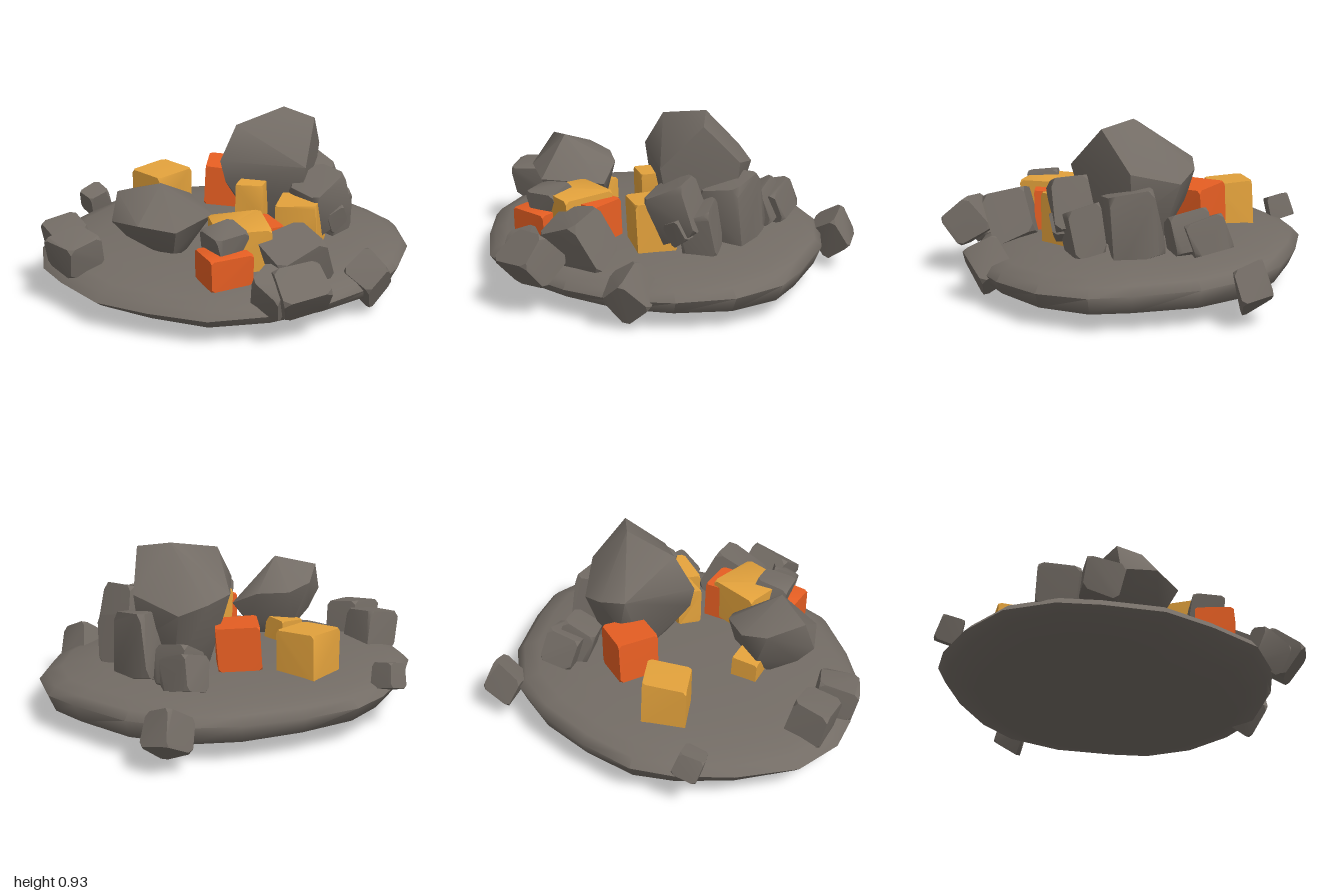
import * as THREE from 'three';
import { toCreasedNormals } from 'three/addons/utils/BufferGeometryUtils.js';
import { ConvexGeometry } from 'three/addons/geometries/ConvexGeometry.js';

const stone = new THREE.MeshStandardMaterial({ name: 'stone grey', color: 0x736c65 });
const amber = new THREE.MeshStandardMaterial({ name: 'amber', color: 0xe3a23c });
const orange = new THREE.MeshStandardMaterial({ name: 'ember orange', color: 0xe85f23 });

const V = (p) => new THREE.Vector3(...p);

function seeded(seed) {
  let s = seed * 7919 + 17;
  return () => (s = (s * 16807) % 2147483647) / 2147483647;
}

function mesh(name, geometry, material, crease) {
  const m = new THREE.Mesh(toCreasedNormals(geometry, crease), material);
  m.name = name;
  return m;
}

// Turned, cut-cornered block stretched to fill the box [x0, x1, y0, y1, z0, z1]
function block([x0, x1, y0, y1, z0, z1], turn, jitter, bevel, seed) {
  const rand = seeded(seed);
  for (let i = 0; i < 5; i++) rand();
  const euler = new THREE.Euler(...turn);
  const points = [];
  for (const x of [-1, 1]) for (const y of [-1, 1]) for (const z of [-1, 1]) {
    const c = [x, y, z].map((k) => k * (1 - jitter * rand()));
    for (let axis = 0; axis < 3; axis++) {
      const p = c.slice();
      p[axis] *= 1 - bevel;
      points.push(V(p).applyEuler(euler));
    }
  }
  const box = new THREE.Box3().setFromPoints(points);
  const size = box.getSize(new THREE.Vector3());
  const lo = V([x0, y0, z0]), span = V([x1 - x0, y1 - y0, z1 - z0]);
  points.forEach((p) => p.sub(box.min).divide(size).multiply(span).add(lo));
  return new ConvexGeometry(points);
}

// Domed stone slab: one outline swept through rings from top centre to bottom centre
function slabGeometry() {
  const outline = [
    [-0.32, -0.92], [-0.02, -0.94], [0.3, -0.91], [0.55, -0.82], [0.78, -0.6],
    [0.93, -0.3], [1, -0.1], [0.96, 0.17], [0.8, 0.42], [0.6, 0.6], [0.3, 0.72],
    [0, 0.77], [-0.32, 0.74], [-0.58, 0.57], [-0.8, 0.38], [-0.93, 0.1],
    [-0.99, -0.1], [-0.95, -0.37], [-0.75, -0.63], [-0.52, -0.82],
  ];
  const top = [[0, 0.29], [0.4, 0.285], [0.7, 0.266], [0.88, 0.238], [0.96, 0.213], [1, 0.172]];
  const under = [[0.96, 0.115], [0.8, 0.075], [0.6, 0.058], [0.4, 0.05], [0.2, 0.048], [0, 0.046]];
  const rings = [...top, ...under];
  const n = outline.length, position = [], index = [];
  rings.forEach(([s, y], r) => {
    for (const [ox, oz] of outline) {
      const x = ox * s, z = oz * s;
      // The top leans to the front, the underside sags towards one low point
      const shift = r < top.length
        ? 0.012 * x - 0.03 * z
        : -0.018 * x - 0.057 * Math.exp(-((x + 0.18) ** 2 + (z - 0.36) ** 2) / 0.12);
      position.push(x, y + shift, z);
    }
  });
  for (let r = 0; r < rings.length - 1; r++) {
    for (let i = 0; i < n; i++) {
      const a = r * n + i, b = r * n + (i + 1) % n;
      if (rings[r][0] > 0) index.push(a, b, b + n);
      if (rings[r + 1][0] > 0) index.push(a, b + n, a + n);
    }
  }
  const g = new THREE.BufferGeometry();
  g.setAttribute('position', new THREE.Float32BufferAttribute(position, 3));
  g.setIndex(index);
  return g;
}

export function createModel() {
  const group = new THREE.Group();
  group.name = 'rubblePile';
  group.add(mesh('stoneSlab', slabGeometry(), stone, 1.2));

  // Two large boulders with distinct silhouettes
  const boulders = {
    largeBoulder: [
      [-0.03, 0.68, -0.07], [0.37, 0.68, 0.16], [0.07, 0.86, -0.11], [0.35, 0.925, -0.16],
      [0.48, 0.89, -0.03], [0.57, 0.69, -0.2], [0.14, 0.7, -0.42], [0.28, 0.67, -0.46],
      [0.42, 0.62, -0.42], [0.0, 0.56, -0.07], [0.36, 0.46, 0.1], [0.54, 0.45, -0.2],
      [0.2, 0.5, -0.4], [0.4, 0.28, -0.3], [0.18, 0.28, -0.25], [0.2, 0.28, -0.04], [0.42, 0.28, -0.04],
    ],
    leftBoulder: [
      [-0.66, 0.48, 0.13], [-0.62, 0.63, 0.1], [-0.41, 0.68, 0.18], [-0.21, 0.54, -0.01],
      [-0.13, 0.46, 0.13], [-0.38, 0.47, 0.36], [-0.5, 0.58, -0.06], [-0.36, 0.55, -0.09],
      [-0.56, 0.5, 0.29], [-0.37, 0.32, 0.26], [-0.58, 0.38, 0.1], [-0.2, 0.36, 0.06],
      [-0.42, 0.26, 0.06], [-0.28, 0.26, 0.12], [-0.42, 0.38, -0.04],
    ],
  };
  for (const [name, pts] of Object.entries(boulders)) {
    group.add(mesh(name, new ConvexGeometry(pts.map(V)), stone, 0.75));
  }

  // Smaller rocks: name, bounds, turn
  const rocks = [
    ['leftEdgeRockBack', [-0.98, -0.72, 0.18, 0.42, -0.25, 0.0], [0.1, 0.2, 0.1]],
    ['leftEdgeRockFront', [-1.0, -0.7, 0.2, 0.42, -0.05, 0.21], [0.2, 0.5, 0.1]],
    ['backLeftPebble', [-0.67, -0.49, 0.18, 0.36, -0.86, -0.68], [0.3, 0.4, 0.2]],
    ['backRightRock', [0.52, 0.78, 0.05, 0.34, -0.93, -0.72], [0.3, 0.4, 0.4]],
    ['frontRightRock', [0.46, 0.72, 0.03, 0.34, 0.39, 0.67], [0.5, 0.5, 0.4]],
    ['frontTipRock', [0.0, 0.27, 0.14, 0.43, 0.64, 0.94], [0.7, 0.1, 0.1]],
    ['frontTipPebble', [-0.1, 0.11, 0.13, 0.4, 0.62, 0.87], [0.4, 0.7, 0.2]],
    ['frontRock', [0.0, 0.39, 0.15, 0.51, 0.38, 0.7], [0.3, 0.25, 0.3]],
    ['frontLeftRock', [-0.27, -0.03, 0.34, 0.53, 0.33, 0.57], [0.2, 0.3, 0.1]],
    ['backRock', [0.33, 0.56, 0.25, 0.5, -0.7, -0.43], [0.3, 0.4, 0.2]],
    ['backSideRock', [0.31, 0.56, 0.22, 0.52, -0.6, -0.33], [0.2, 0.5, 0.3]],
    ['rightRock', [0.4, 0.66, 0.22, 0.62, -0.38, -0.02], [0.15, 0.4, 0.1]],
    ['rightFrontRock', [0.3, 0.63, 0.3, 0.66, -0.02, 0.28], [0.2, 0.4, 0.3]],
    ['rightLowRock', [0.44, 0.67, 0.22, 0.54, -0.08, 0.18], [0.2, 0.6, 0.1]],
    ['rightSliver', [0.46, 0.6, 0.31, 0.5, 0.06, 0.23], [0.2, 0.2, 0.4]],
  ];
  rocks.forEach(([name, bounds, turn], i) => {
    group.add(mesh(name, block(bounds, turn, 0.22, 0.28, i + 1), stone, 0.75));
  });

  // Glowing blocks scattered among the rocks: name, material, bounds, turn
  const embers = [
    ['backAmberBlock', amber, [-0.4, -0.08, 0.25, 0.51, -0.69, -0.4], [0.02, 0.5, 0.02]],
    ['backOrangeBlock', orange, [-0.04, 0.25, 0.32, 0.56, -0.58, -0.28], [0.02, -0.4, -0.05]],
    ['leftAmberChip', amber, [-0.45, -0.27, 0.24, 0.4, -0.11, 0.06], [0, 0.25, 0.1]],
    ['centreAmberChip', amber, [0.02, 0.22, 0.38, 0.59, -0.06, 0.1], [0.05, -0.5, 0]],
    ['rightAmberBlock', amber, [0.18, 0.49, 0.25, 0.53, 0.06, 0.32], [0.05, -0.5, 0.05]],
    ['frontAmberBlock', amber, [-0.2, 0.1, 0.28, 0.51, 0.22, 0.53], [0.02, -0.07, 0.02]],
    ['frontOrangeBlock', orange, [-0.05, 0.18, 0.25, 0.48, 0.22, 0.46], [0.02, 0.2, 0.02]],
    ['frontLeftOrangeBlock', orange, [-0.3, -0.04, 0.24, 0.41, 0.4, 0.62], [0.02, 0.15, 0.02]],
  ];
  embers.forEach(([name, material, bounds, turn], i) => {
    group.add(mesh(name, block(bounds, turn, 0.08, 0.15, i + 40), material, 0.85));
  });

  return group;
}
